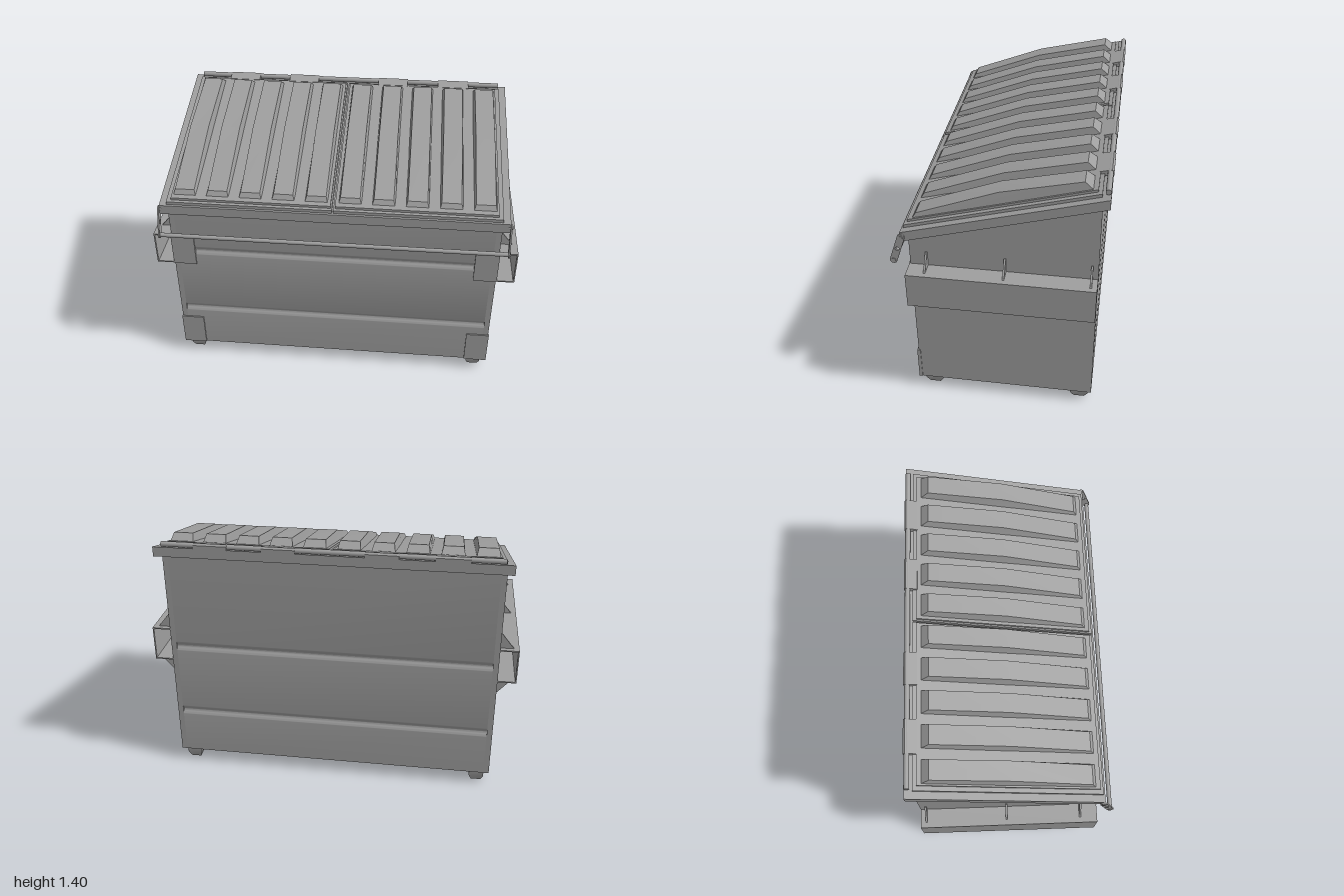
import * as THREE from 'three';
import { toCreasedNormals } from 'three/addons/utils/BufferGeometryUtils.js';

const SLOPE = -0.279;                       // pitch of rim and lids along z
const pitch = (h, z) => h + SLOPE * z;
const span = (s, a, b) => (s > 0 ? [a, b] : [-b, -a]);   // mirrored x range

export function createModel() {
  const root = new THREE.Group();
  const mat = new THREE.MeshStandardMaterial({ color: 0x9e9e9e });

  const add = (name, geo, parent = root) => {
    const mesh = new THREE.Mesh(geo, mat);
    mesh.name = name;
    parent.add(mesh);
    return mesh;
  };
  const group = (name) => {
    const g = new THREE.Group();
    g.name = name;
    root.add(g);
    return g;
  };
  const box = (name, [x0, x1], [y0, y1], [z0, z1], parent) =>
    add(name, new THREE.BoxGeometry(x1 - x0, y1 - y0, z1 - z0)
      .translate((x0 + x1) / 2, (y0 + y1) / 2, (z0 + z1) / 2), parent);
  const rod = (name, r, x0, x1, y, z, parent) =>
    add(name, new THREE.CylinderGeometry(r, r, x1 - x0, 16)
      .rotateZ(Math.PI / 2).translate((x0 + x1) / 2, y, z), parent);
  // Side outline, points [z, y], extruded from x0 to x1
  const extrudeX = (shape, x0, x1) => toCreasedNormals(
    new THREE.ExtrudeGeometry(shape, { depth: x1 - x0, bevelEnabled: false, curveSegments: 10 })
      .rotateY(Math.PI / 2).translate(x0, 0, 0), 0.5);
  const prism = (name, pts, [x0, x1], parent) => add(name,
    extrudeX(new THREE.Shape(pts.map(([z, y]) => new THREE.Vector2(-z, y))), x0, x1), parent);
  // Sloping slab between two heights (given at z = 0)
  const slab = (name, xs, zF, zB, low, high, parent) => prism(name, [
    [zF, pitch(low, zF)], [zB, pitch(low, zB)], [zB, pitch(high, zB)], [zF, pitch(high, zF)],
  ], xs, parent);
  // Box whose vertices are moved by a rule
  const reshape = (geo, rule) => {
    const g = geo.toNonIndexed(), p = g.attributes.position;
    for (let i = 0; i < p.count; i++) p.setXYZ(i, ...rule(p.getX(i), p.getY(i), p.getZ(i)));
    return toCreasedNormals(g, 0.6);
  };

  // Container with soft pressed grooves front and back, closed by plain ends
  const body = group('container');
  const ZF = 0.45, ZB = -0.5, D = 0.013;
  const groove = (z, d, y) => Array.from({ length: 17 }, (_, i) => {
    const t = i / 8 - 1;
    return [z + d * (1 + Math.cos(Math.PI * t)) / 2, y + 0.028 * t];
  });
  const top = [[ZF, pitch(1.19, ZF)], [ZB, pitch(1.19, ZB)]];
  prism('groovedShell', [
    [ZF, 0.075], ...groove(ZF, -D, 0.347), ...groove(ZF, -D, 0.765), ...top,
    ...groove(ZB, D, 0.765).reverse(), ...groove(ZB, D, 0.347).reverse(), [ZB, 0.075],
  ], [-0.87, 0.87], body);
  for (const s of [-1, 1]) {
    prism('endWall', [[ZF, 0.075], ...top, [ZB, 0.075]], span(s, 0.87, 0.9), body);
    for (const ys of [[0.075, 0.27], [0.675, 0.87]]) {
      box('cornerPlate', span(s, 0.775, 0.904), ys, [0.44, 0.458], body);
    }
  }

  // Sloping rim
  slab('rim', [-0.935, 0.935], 0.482, -0.537, 1.163, 1.217);

  // Two lids, each with a raised panel and five ribs
  const ribGeo = reshape(new THREE.BoxGeometry(1, 1, 1, 1, 1, 2), (x, y, z) => {
    const i = Math.round((0.5 - z) * 2);    // 0 front, 1 middle, 2 back
    const up = y > 0;
    const rz = (up ? [0.416, 0, -0.41] : [0.437, 0, -0.457])[i];
    return [x * (up ? 0.104 : 0.124), up ? [1.152, 1.31, 1.405][i] : pitch(1.24, rz), rz];
  });
  for (const s of [-1, 1]) {
    const lid = group(s > 0 ? 'leftLid' : 'rightLid');
    slab('lidSheet', span(s, 0.004, 0.896), 0.472, -0.495, 1.21, 1.234, lid);
    slab('lidPanel', span(s, 0.012, 0.872), 0.457, -0.475, 1.23, 1.247, lid);
    for (let i = 0; i < 5; i++) {
      add('lidRib', ribGeo, lid).position.x = s * (0.09 + 0.178 * i);
    }
    // Hinge knuckles wrapping the rod
    for (const [a, b] of [[0.18, 0.355], [0.537, 0.715]]) {
      prism('hingeKnuckle', [
        [-0.47, pitch(1.225, -0.47)], [-0.54, pitch(1.215, -0.54)],
        [-0.54, 1.386], [-0.53, 1.396], [-0.47, pitch(1.249, -0.47)],
      ], span(s, a, b), lid);
    }
  }
  rod('hingeRod', 0.014, -0.89, 0.89, 1.38, -0.522);

  // Lock bar on two swinging arms
  const bar = group('lockBar');
  const A = [0.475, 1.058], B = [0.522, 0.917], R = 0.019;
  const tilt = Math.atan2(B[1] - A[1], A[0] - B[0]);
  const arm = new THREE.Shape();
  arm.absarc(-A[0], A[1], R, tilt + Math.PI / 2, tilt + Math.PI * 1.5);
  arm.absarc(-B[0], B[1], R, tilt - Math.PI / 2, tilt + Math.PI / 2);
  arm.closePath();
  arm.holes.push(new THREE.Path().absarc(-(A[0] + B[0]) / 2, (A[1] + B[1]) / 2, 0.011, 0, Math.PI * 2, true));
  for (const s of [-1, 1]) {
    add('barArm', extrudeX(arm, s * 0.939 - 0.004, s * 0.939 + 0.004), bar);
    rod('pivotBolt', 0.01, ...span(s, 0.925, 0.947), A[1], A[0], bar);
  }
  rod('crossBar', 0.012, -0.947, 0.947, B[1], B[0], bar);

  // Fork pockets: open-ended sleeves with triangular gussets
  for (const s of [-1, 1]) {
    const pocket = group(s > 0 ? 'leftForkPocket' : 'rightForkPocket');
    const zs = [-0.5, 0.455];
    box('pocketTop', span(s, 0.895, 1), [0.863, 0.87], zs, pocket);
    box('pocketBottom', span(s, 0.895, 1), [0.675, 0.682], zs, pocket);
    box('pocketSide', span(s, 0.993, 1), [0.682, 0.863], zs, pocket);
    for (const z of [0.363, -0.035, -0.468]) {
      for (const [y, tip] of [[0.868, 0.953], [0.677, 0.598]]) {
        const pts = [[0.895, y], [0.973, y], [0.905, tip], [0.895, tip]];
        const gusset = new THREE.Shape(pts.map(([px, py]) => new THREE.Vector2(s * px, py)));
        add('gusset', new THREE.ExtrudeGeometry(gusset, { depth: 0.01, bevelEnabled: false }), pocket)
          .position.z = z - 0.005;
      }
    }
  }

  // Tapered feet
  const footGeo = reshape(new THREE.BoxGeometry(0.082, 0.08, 0.096, 1, 2, 1), (x, y, z) =>
    y < -0.01 ? [x * 0.66, 0, z * 0.62] : [x, y > 0.01 ? 0.08 : 0.036, z]);
  for (const x of [-0.831, 0.831]) {
    for (const z of [0.38, -0.432]) add('foot', footGeo).position.set(x, 0, z);
  }

  return root;
}
